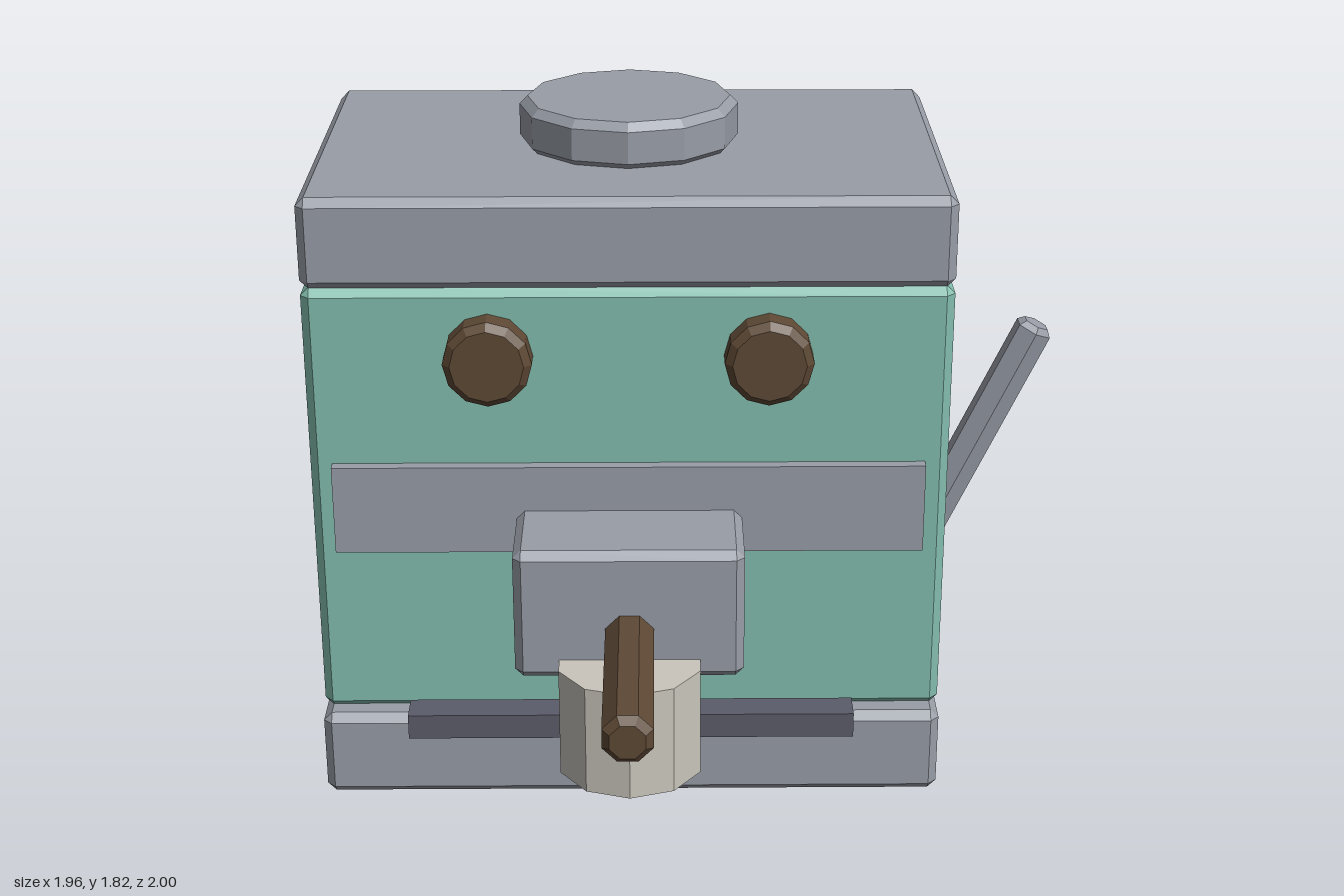
import * as THREE from 'three';
import { ConvexGeometry } from 'three/addons/geometries/ConvexGeometry.js';

const material = (name, color) => {
  const m = new THREE.MeshStandardMaterial({ color, flatShading: true });
  m.name = name;
  return m;
};

// Box between two corners with every edge cut at 45 degrees
function chamferBox(min, max, c) {
  const half = min.map((v, i) => (max[i] - v) / 2);
  const points = [];
  for (const sx of [-1, 1]) for (const sy of [-1, 1]) for (const sz of [-1, 1]) {
    for (let axis = 0; axis < 3; axis++) {
      const [x, y, z] = half.map((h, i) => (i === axis ? h : h - c));
      points.push(new THREE.Vector3(sx * x, sy * y, sz * z));
    }
  }
  const g = new ConvexGeometry(points);
  g.translate(...min.map((v, i) => (v + max[i]) / 2));
  return g;
}

function plainBox(min, max) {
  const g = new THREE.BoxGeometry(...min.map((v, i) => max[i] - v));
  g.translate(...min.map((v, i) => (v + max[i]) / 2));
  return g;
}

// Faceted rod along y, centred at the origin, with cut rims
function chamferRod(r, length, sides, c, phi = 0) {
  const h = length / 2;
  const profile = [[0, -h], [r - c, -h], [r, -h + c], [r, h - c], [r - c, h], [0, h]];
  return new THREE.LatheGeometry(profile.map(p => new THREE.Vector2(...p)), sides, phi);
}

export function createModel() {
  const model = new THREE.Group();
  model.name = 'coffeeMachine';

  const steel = material('steel', 0x989da7);
  const mint = material('mint enamel', 0x83bdad);
  const wood = material('brown wood', 0x5e4935);
  const slate = material('dark slate', 0x5b5c6a);
  const cream = material('cream ceramic', 0xcac6bd);

  const add = (name, geometry, mat, position = [0, 0, 0]) => {
    const mesh = new THREE.Mesh(geometry, mat);
    mesh.name = name;
    mesh.position.set(...position);
    model.add(mesh);
    return mesh;
  };

  const cx = -0.14, left = 0.705, right = -0.985;

  // Housing
  add('base', chamferBox([right, 0, -1], [left, 0.245, 0.21], 0.023), steel);
  add('body', chamferBox([right, 0.24, -0.935], [left, 1.46, 0.155], 0.023), mint);
  add('lid', chamferBox([right, 1.455, -0.935], [left, 1.7, 0.155], 0.023), steel);
  add('topKnob', chamferRod(0.297, 0.13, 12, 0.022), steel, [cx, 1.758, -0.395]);

  // Front fittings
  add('frontBand', plainBox([-0.925, 0.73, 0.1], [0.642, 0.975, 0.188]), steel);
  add('brewHead', chamferBox([-0.44, 0.488, 0.1], [0.158, 0.85, 0.455], 0.022), steel);
  add('dripTray', plainBox([-0.745, 0.21, 0.182], [0.464, 0.28, 0.272]), slate);
  add('cup', new THREE.CylinderGeometry(0.193, 0.193, 0.3, 10), cream, [cx, 0.395, 0.457]);

  // Dials
  for (const side of [-1, 1]) {
    const dial = add(side < 0 ? 'rightDial' : 'leftDial', chamferRod(0.116, 0.14, 12, 0.02),
      wood, [cx + side * 0.364, 1.277, 0.168]);
    dial.rotation.x = Math.PI / 2;
  }

  // Brewing handle pointing forward
  const handle = add('brewHandle', chamferRod(0.068, 0.6, 8, 0.02, Math.PI / 8), wood, [cx, 0.61, 0.7]);
  handle.rotation.x = Math.PI / 2;

  // Slanted side lever, its foot buried in the body
  const tilt = THREE.MathUtils.degToRad(25), leverLength = 0.75;
  const lever = add('sideLever', chamferRod(0.052, leverLength, 6, 0.016), steel,
    [0.945 - Math.sin(tilt) * leverLength / 2, 1.295 - Math.cos(tilt) * leverLength / 2, -0.03]);
  lever.rotation.z = -tilt;

  return model;
}
